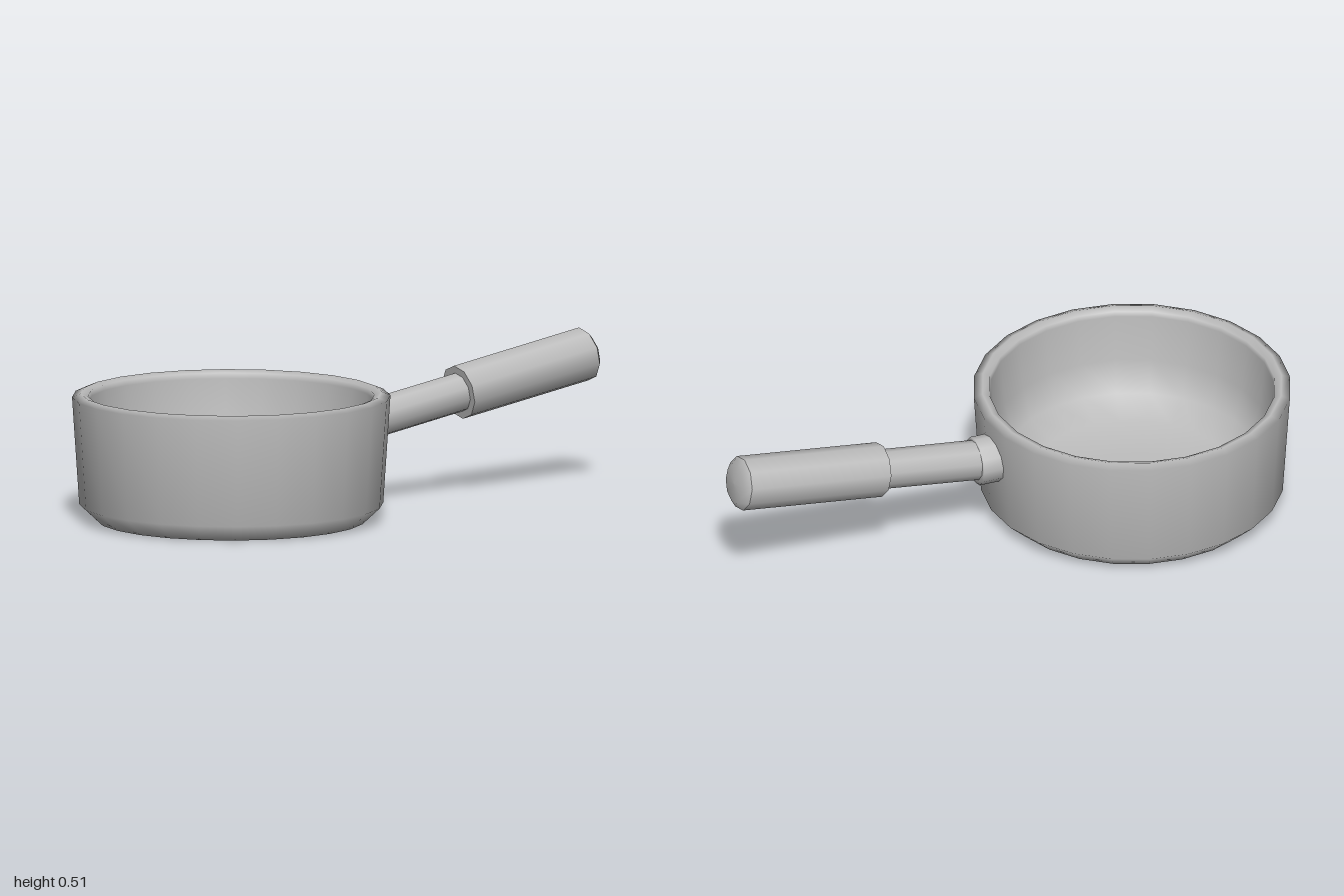
import * as THREE from 'three';

const metal = new THREE.MeshStandardMaterial({ color: 0xbcbcbc });
metal.name = 'grey metal';

// Surface of revolution; a repeated point keeps that edge sharp
function turned(name, profile, sides, phase = 0) {
  const points = profile.map(([r, y]) => new THREE.Vector2(r, y));
  const mesh = new THREE.Mesh(new THREE.LatheGeometry(points, sides, phase), metal);
  mesh.name = name;
  return mesh;
}

export function createModel() {
  const group = new THREE.Group();
  group.name = 'saucepan';

  // Bowl: base, chamfer, flared wall, rim, then the rounded inside
  const bowl = turned('bowl', [
    [0, 0], [0.446, 0], [0.505, 0.055], [0.529, 0.415], [0.5, 0.427],
    [0.476, 0.418], [0.474, 0.4], [0.458, 0.24], [0.425, 0.13],
    [0.34, 0.075], [0.18, 0.052], [0, 0.048],
  ], 24);
  bowl.position.x = -0.471;
  group.add(bowl);

  // Collar joining the handle to the wall
  const collar = turned('handleCollar', [
    [0.082, 0], [0.082, 0.085], [0.066, 0.087], [0, 0.087],
  ], 12);
  collar.rotation.z = -Math.PI / 2;
  collar.position.set(0.018, 0.278, -0.031);
  group.add(collar);

  // Handle: rises and swings slightly back along one axis
  const start = new THREE.Vector3(0.1, 0.285, -0.035);
  const end = new THREE.Vector3(0.967, 0.424, -0.087);
  const axis = end.clone().sub(start);
  const length = axis.length();
  const handle = new THREE.Group();
  handle.name = 'handle';
  handle.position.copy(start);
  handle.quaternion.setFromUnitVectors(new THREE.Vector3(0, 1, 0), axis.normalize());
  handle.add(
    turned('handleShaft', [[0.067, -0.03], [0.066, 0.38]], 10, -Math.PI / 2),
    turned('handleGrip', [
      [0, 0.362], [0.091, 0.362], [0.091, 0.362], [0.091, length], [0.091, length],
      [0.065, length + 0.02], [0, length + 0.023],
    ], 10, -Math.PI / 2),
  );
  group.add(handle);
  return group;
}
